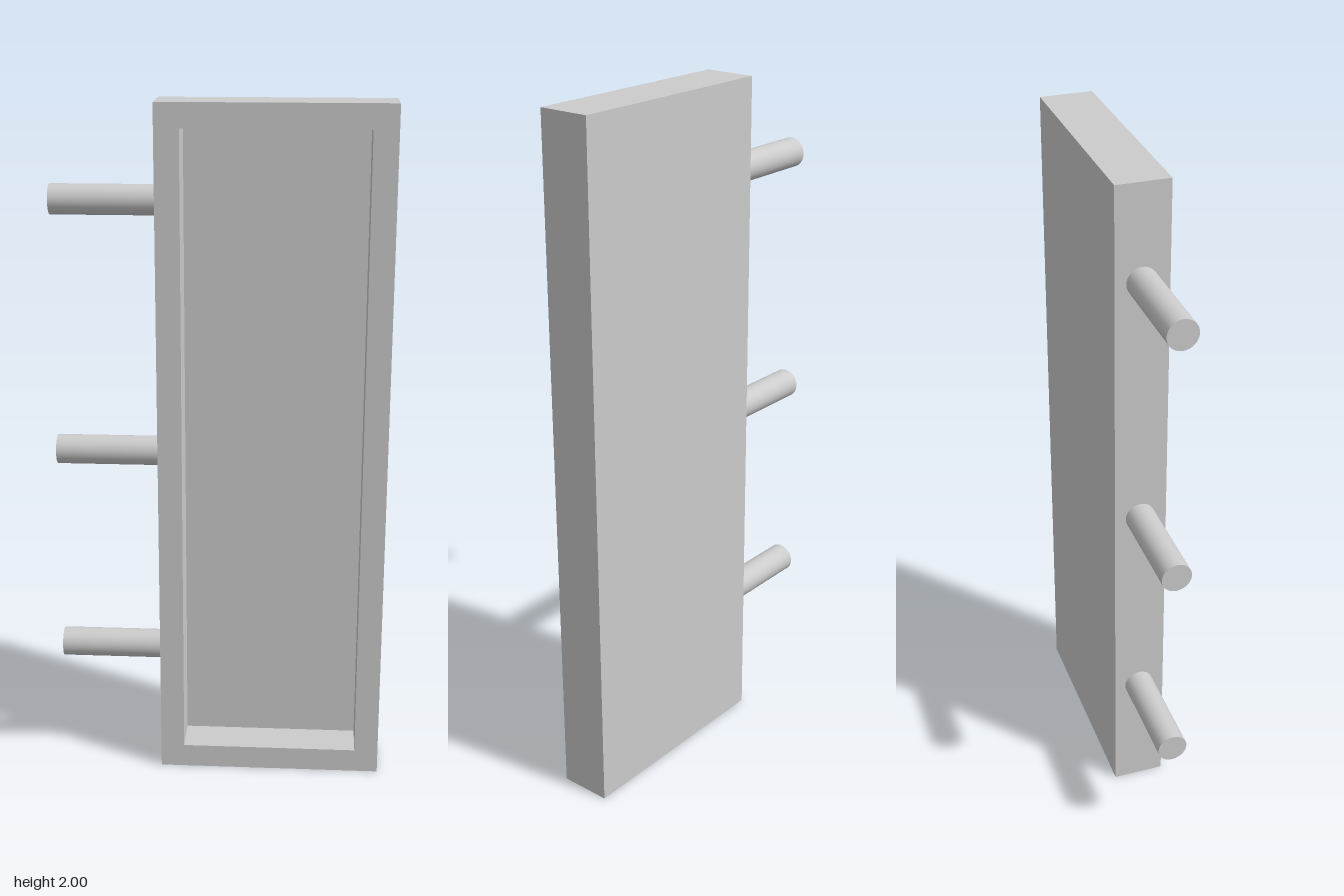
import * as THREE from 'three';

const material = new THREE.MeshStandardMaterial({ color: 0xcccccc });

// Overall sizes of the tray-shaped body
const LEFT = -0.18, RIGHT = 0.48, HEIGHT = 2, HALF_DEPTH = 0.076;
const RIM = 0.07, BACK = 0.03;

function addMesh(group, name, geometry, x, y, z) {
  const mesh = new THREE.Mesh(geometry, material);
  mesh.name = name;
  mesh.position.set(x, y, z);
  group.add(mesh);
  return mesh;
}

function rectangle(PathType, x0, y0, x1, y1) {
  return new PathType([[x0, y0], [x1, y0], [x1, y1], [x0, y1]].map(([x, y]) => new THREE.Vector2(x, y)));
}

export function createModel() {
  const group = new THREE.Group();
  group.name = 'pinnedTray';

  // Rim around the front recess
  const outline = rectangle(THREE.Shape, LEFT, 0, RIGHT, HEIGHT);
  outline.holes.push(rectangle(THREE.Path, LEFT + RIM, RIM, RIGHT - RIM, HEIGHT - RIM));
  const rim = new THREE.ExtrudeGeometry(outline, { depth: 2 * HALF_DEPTH - BACK, bevelEnabled: false });
  addMesh(group, 'rim', rim, 0, 0, -HALF_DEPTH + BACK);

  // Thin panel closing the back
  const panel = new THREE.BoxGeometry(RIGHT - LEFT, HEIGHT, BACK);
  addMesh(group, 'backPanel', panel, (LEFT + RIGHT) / 2, HEIGHT / 2, -HALF_DEPTH + BACK / 2);

  // Three round pins on the side
  const pin = new THREE.CylinderGeometry(0.043, 0.043, 0.3, 32).rotateZ(Math.PI / 2);
  for (const y of [0.375, 0.995, 1.727]) addMesh(group, 'sidePin', pin, LEFT - 0.15, y, -0.001);

  return group;
}
